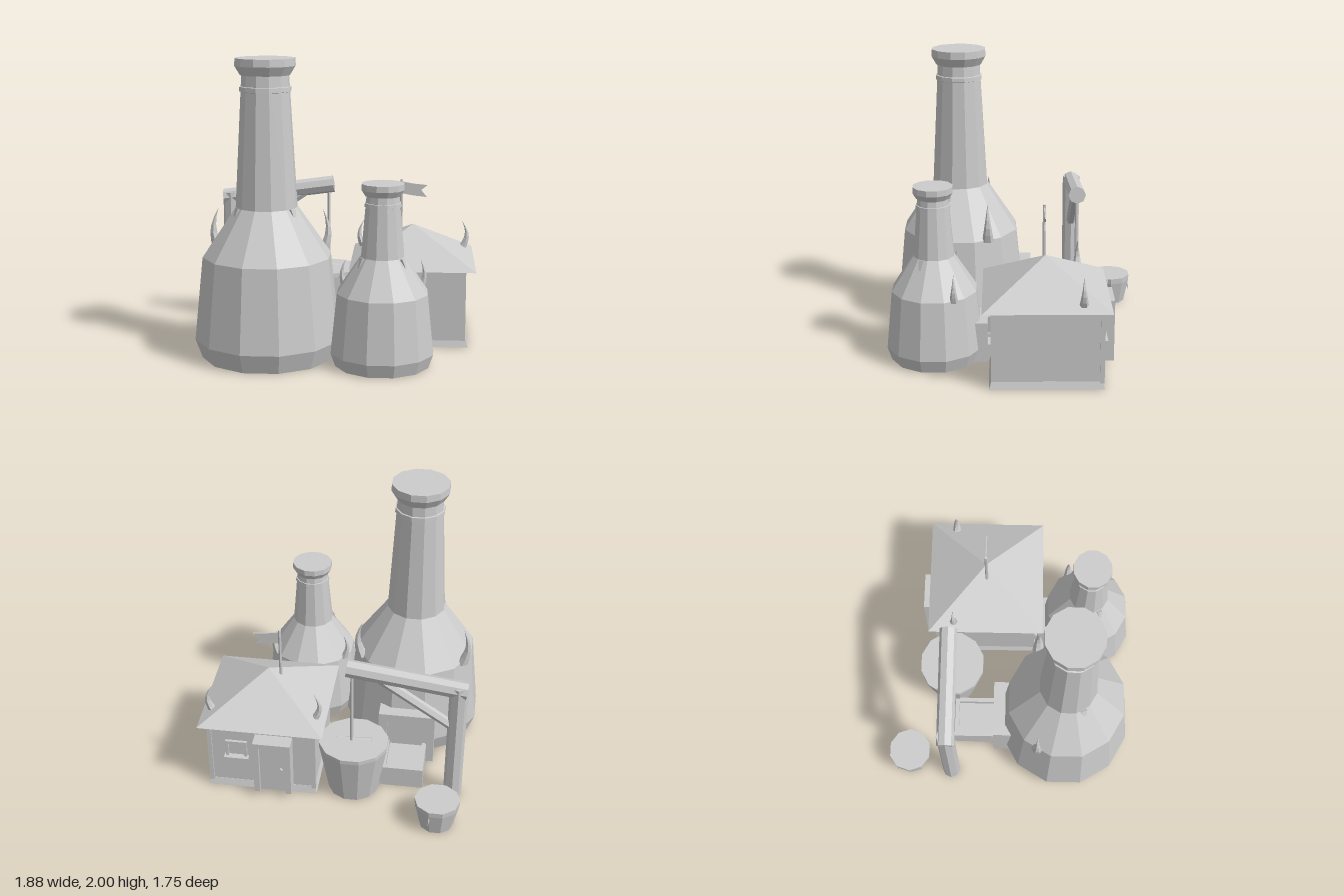
import * as THREE from 'three';

const stone = new THREE.MeshStandardMaterial({ color: 0xcccccc, flatShading: true, side: THREE.DoubleSide });
stone.name = 'pale grey';

function add(parent, name, geometry, x = 0, y = 0, z = 0) {
  const mesh = new THREE.Mesh(geometry, stone);
  mesh.name = name;
  mesh.position.set(x, y, z);
  parent.add(mesh);
  return mesh;
}

// Box given by its minimum and maximum corners
function box(parent, name, x0, x1, y0, y1, z0, z1) {
  return add(parent, name, new THREE.BoxGeometry(x1 - x0, y1 - y0, z1 - z0),
    (x0 + x1) / 2, (y0 + y1) / 2, (z0 + z1) / 2);
}

// Round bar between two points
function bar(parent, name, a, b, r, sides = 8) {
  const p = new THREE.Vector3(...a), q = new THREE.Vector3(...b);
  const mesh = add(parent, name, new THREE.CylinderGeometry(r, r, p.distanceTo(q), sides));
  mesh.position.copy(p).lerp(q, 0.5);
  mesh.quaternion.setFromUnitVectors(new THREE.Vector3(0, 1, 0), q.sub(p).normalize());
  return mesh;
}

// Faceted turned body, flats facing the axes
function turned(parent, name, profile, x, z, sides = 12) {
  const k = 1 / Math.cos(Math.PI / sides);
  const pts = profile.map(([r, y]) => new THREE.Vector2(r * k, y));
  const mesh = add(parent, name, new THREE.LatheGeometry(pts, sides, Math.PI / sides), x, 0, z);
  mesh.scale.z = 0.967;
  return mesh;
}

// Upright horn that bulges sideways and curls back at its tip
function horn(parent, x, y, z, r, h, bulge) {
  const g = new THREE.CylinderGeometry(0.001, r, h, 6, 5);
  g.translate(0, h / 2, 0);
  const p = g.attributes.position;
  for (let i = 0; i < p.count; i++) {
    p.setX(i, p.getX(i) + bulge * Math.sin(Math.PI * p.getY(i) / h));
  }
  return add(parent, 'horn', g, x, y, z);
}

// Claw hanging from the shoulder, pointing down and out
function claw(parent, x, y, z, cx, cz, h) {
  const g = new THREE.CylinderGeometry(h * 0.28, h * 0.08, h, 4);
  g.rotateY(Math.PI / 4);
  g.rotateX(-0.45);
  add(parent, 'shoulderClaw', g, x, y, z).rotation.y = Math.atan2(x - cx, z - cz);
}

// Stoking hatch: hollow frame with a recessed tray running to the back
function hatch(parent, x, z, s) {
  const g = new THREE.Group();
  g.name = 'hatch';
  box(g, 'frameSide', -0.2, -0.14, 0, 0.4, -0.05, 0.09);
  box(g, 'frameSide', 0.14, 0.2, 0, 0.4, -0.05, 0.09);
  box(g, 'frameTop', -0.14, 0.14, 0.34, 0.4, -0.05, 0.09);
  box(g, 'hatchDoor', -0.14, 0.14, 0.1, 0.34, -0.02, 0.02);
  box(g, 'trayBed', -0.115, 0.115, 0.1, 0.125, -0.31, -0.03);
  for (const e of [-1, 1]) {
    add(g, 'traySide', new THREE.BoxGeometry(0.03, 0.16, 0.3), e * 0.132, 0.08, -0.19);
  }
  box(g, 'trayEnd', -0.117, 0.117, 0, 0.16, -0.34, -0.31);
  g.position.set(x, 0, z);
  g.scale.setScalar(s);
  parent.add(g);
}

function bottles(root) {
  // Large bottle kiln
  const big = new THREE.Group();
  big.name = 'largeKiln';
  root.add(big);
  turned(big, 'kilnBody', [[0.43, 0], [0.475, 0.13], [0.418, 0.69], [0.2, 1.02], [0.152, 1.89],
    [0.16, 1.89], [0.195, 1.95], [0.193, 2], [0, 2]], -0.468, 0.393);
  turned(big, 'neckBand', [[0.158, 1.782], [0.167, 1.785], [0.165, 1.815], [0.156, 1.818]], -0.468, 0.393);
  for (const e of [-1, 1]) {
    horn(big, -0.468 + e * 0.36, 0.68, 0.19, 0.042, 0.28, e * 0.035);
    claw(big, -0.468 + e * 0.19, 0.96, 0.5, -0.468, 0.393, 0.12);
  }
  hatch(big, -0.468, -0.075, 1);

  // Small bottle kiln
  const small = new THREE.Group();
  small.name = 'smallKiln';
  root.add(small);
  turned(small, 'kilnBody', [[0.305, 0], [0.335, 0.09], [0.295, 0.49], [0.14, 0.73], [0.106, 1.13],
    [0.113, 1.13], [0.137, 1.17], [0.136, 1.21], [0, 1.21]], 0.307, 0.55);
  turned(small, 'neckBand', [[0.11, 1.058], [0.118, 1.06], [0.116, 1.085], [0.109, 1.087]], 0.307, 0.55);
  for (const e of [-1, 1]) {
    horn(small, 0.307 + e * 0.25, 0.48, 0.41, 0.03, 0.19, e * 0.025);
    claw(small, 0.307 + e * 0.14, 0.685, 0.63, 0.307, 0.55, 0.09);
  }
  hatch(small, 0.305, 0.225, 0.71);
}

function house(root) {
  const g = new THREE.Group();
  g.name = 'house';
  root.add(g);
  const cx = 0.5, cz = -0.197;
  box(g, 'walls', 0.13, 0.868, 0.04, 0.54, -0.555, 0.165);

  // Flared plinth
  const plinth = new THREE.CylinderGeometry(Math.SQRT1_2, Math.SQRT1_2 * 1.045, 0.05, 4, 1, false, Math.PI / 4);
  add(g, 'plinth', plinth, cx, 0.025, cz).scale.set(0.738, 1, 0.72);

  // Pyramid roof
  const roof = new THREE.ConeGeometry(Math.SQRT1_2, 0.25, 4, 1, false, Math.PI / 4);
  add(g, 'roof', roof, cx, 0.665, cz).scale.set(0.868, 1, 0.838);

  // Corner posts of the door wall
  for (const x of [0.135, 0.863]) box(g, 'cornerPost', x - 0.015, x + 0.015, 0.04, 0.54, -0.57, -0.54);

  // Door with deep frame
  box(g, 'doorJamb', 0.28, 0.32, 0.05, 0.48, -0.66, -0.55);
  box(g, 'doorJamb', 0.5, 0.54, 0.05, 0.48, -0.66, -0.55);
  box(g, 'doorLintel', 0.32, 0.5, 0.44, 0.48, -0.66, -0.55);
  box(g, 'doorLeaf', 0.32, 0.5, 0.05, 0.44, -0.63, -0.6);
  add(g, 'doorKnob', new THREE.IcosahedronGeometry(0.013), 0.35, 0.25, -0.637);

  // Window
  for (const x of [0.61, 0.74]) box(g, 'windowJamb', x - 0.01, x + 0.01, 0.28, 0.4, -0.575, -0.55);
  box(g, 'windowHead', 0.6, 0.75, 0.39, 0.41, -0.575, -0.55);
  box(g, 'windowSill', 0.59, 0.76, 0.265, 0.285, -0.6, -0.55);

  // Roof horns
  for (const e of [-1, 1]) horn(g, cx + e * 0.357, 0.565, -0.43, 0.032, 0.2, e * 0.035);

  // Flag with swallow tail
  bar(g, 'flagPole', [0.417, 0.7, -0.19], [0.417, 1.11, -0.19], 0.011, 6);
  const flag = new THREE.Shape([[0.417, 1.095], [0.5, 1.08], [0.6, 1.07], [0.555, 1.035], [0.595, 0.985],
    [0.5, 0.995], [0.417, 1.01]].map(p => new THREE.Vector2(...p)));
  add(g, 'flag', new THREE.ExtrudeGeometry(flag, { depth: 0.008, bevelEnabled: false }), 0, 0, -0.194);
}

function crane(root) {
  const g = new THREE.Group();
  g.name = 'crane';
  root.add(g);
  const z = -0.437;
  bar(g, 'post', [-0.83, 0, z], [-0.83, 0.96, z], 0.063);
  bar(g, 'beam', [-0.885, 0.92, z], [-0.08, 1.028, z], 0.061);
  bar(g, 'brace', [-0.82, 0.6, z], [-0.26, 0.99, z], 0.034, 6);
  bar(g, 'hangingRod', [-0.115, 0.4, z], [-0.115, 1, z], 0.012, 6);

  // Vat under the crane with a pointed paddle on its lid
  turned(root, 'vat', [[0.17, 0], [0.235, 0.38], [0.235, 0.41], [0, 0.41]], -0.13, z);
  const paddle = new THREE.ConeGeometry(0.022, 0.27, 4).rotateZ(-Math.PI / 2);
  add(root, 'paddle', paddle, -0.12, 0.425, z).scale.y = 0.6;
}

function tub(root) {
  const g = new THREE.Group();
  g.name = 'tub';
  g.position.set(-0.74, 0, -0.737);
  root.add(g);
  turned(g, 'tubBody', [[0.112, 0], [0.146, 0.17], [0.148, 0.21], [0, 0.21]], 0, 0, 10);

  // Small fangs around the side
  for (let i = 0; i < 5; i++) {
    const a = i * Math.PI * 0.4 + 0.3;
    const fang = new THREE.ConeGeometry(0.016, 0.11, 4).rotateX(Math.PI - 0.2);
    add(g, 'tubFang', fang, Math.sin(a) * 0.14, 0.14, Math.cos(a) * 0.14).rotation.y = a;
  }
}

export function createModel() {
  const root = new THREE.Group();
  root.name = 'kilnYard';
  bottles(root);
  house(root);
  crane(root);
  tub(root);
  return root;
}
